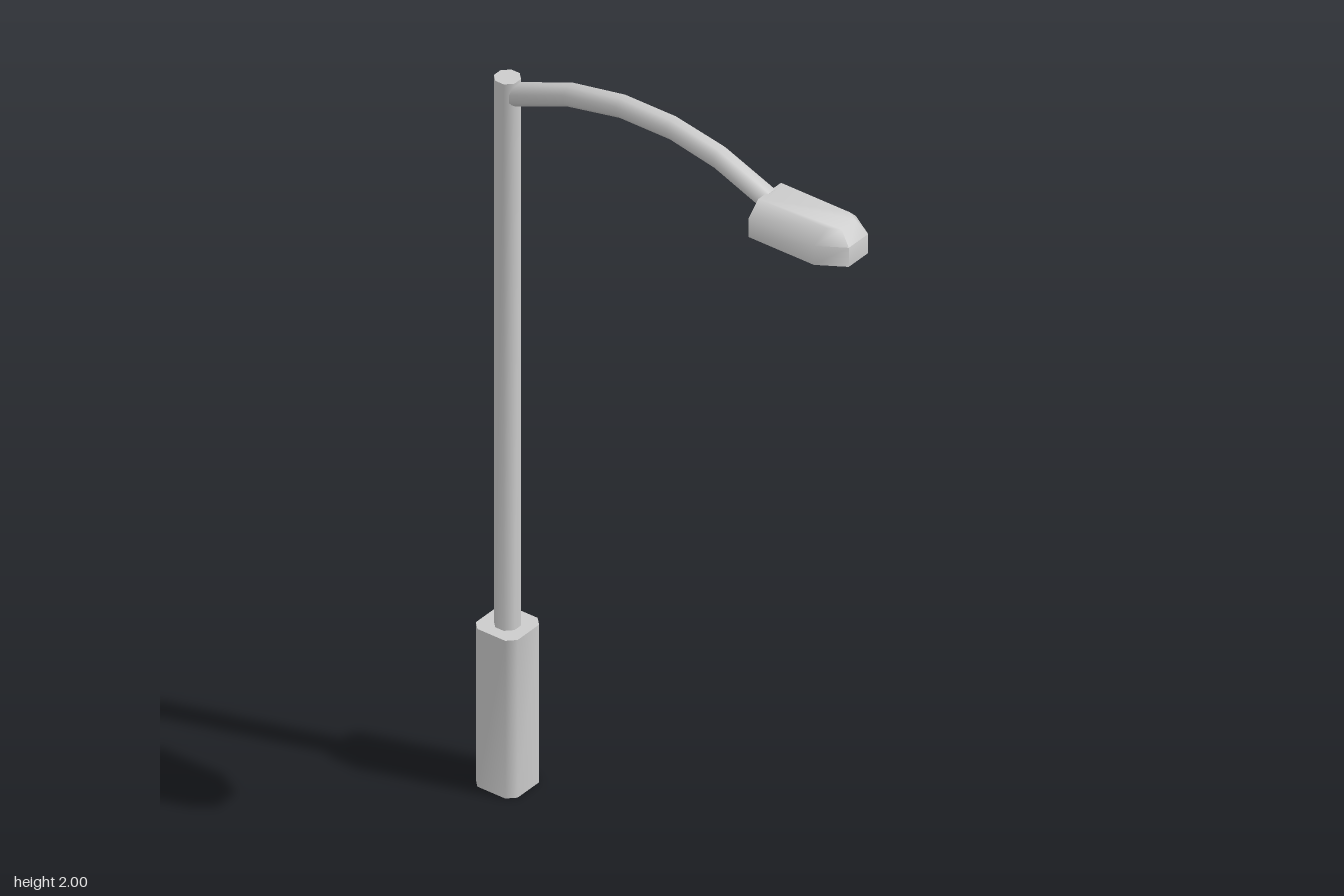
import * as THREE from 'three';
import { toCreasedNormals } from 'three/addons/utils/BufferGeometryUtils.js';

const material = new THREE.MeshStandardMaterial({ color: 0xcccccc });
const openMaterial = new THREE.MeshStandardMaterial({ color: 0xcccccc, side: THREE.DoubleSide });
const POLE_Z = -0.475;

// Joins rings of [x, z] corners (each at its own height), with optional end caps
function loft(rings, capFirst, capLast) {
  const n = rings[0].points.length;
  const positions = rings.flatMap(({ y, points }) => points.flatMap(([x, z]) => [x, y, z]));
  const index = [];
  for (let r = 0; r < rings.length - 1; r++) {
    for (let i = 0; i < n; i++) {
      const j = (i + 1) % n;
      const a = r * n + i, b = r * n + j, c = a + n, d = b + n;
      index.push(a, b, d, a, d, c);
    }
  }
  const last = (rings.length - 1) * n;
  for (let i = 1; i < n - 1; i++) {
    if (capFirst) index.push(0, i + 1, i);
    if (capLast) index.push(last, last + i, last + i + 1);
  }
  const geometry = new THREE.BufferGeometry();
  geometry.setAttribute('position', new THREE.Float32BufferAttribute(positions, 3));
  geometry.setIndex(index);
  return toCreasedNormals(geometry, 1.02);
}

// Mirrors the left half of a plan to make a closed ring
function mirrored(half) {
  return [...half.map(([x, z]) => [-x, z]), ...half.slice().reverse()];
}

function createBase() {
  const h = 0.06, c = 0.04;
  const plan = mirrored([[c, -h], [h, -c], [h, c], [c, h]]);
  return loft([{ y: 0, points: plan }, { y: 0.43, points: plan }], false, true);
}

// Eight-sided rod bent into an arch by lifting its rings
function createArm() {
  const path = [[-0.45, 1.883], [-0.295, 1.945], [-0.145, 1.974], [0, 1.974], [0.135, 1.948], [0.285, 1.888]];
  const slopes = [0.4, 0.29, 0.1, -0.1, -0.32, -0.44];
  const geometry = new THREE.CylinderGeometry(0.028, 0.028, 5, 8, 5, false, Math.PI / 8);
  geometry.rotateX(Math.PI / 2);
  const p = geometry.attributes.position;
  for (let i = 0; i < p.count; i++) {
    const k = Math.round(p.getZ(i) + 2.5);
    const [z, y] = path[k];
    p.setXYZ(i, p.getX(i), y + p.getY(i) * Math.hypot(1, slopes[k]), z);
  }
  return toCreasedNormals(geometry, 1.02);
}

// Lamp housing with a chamfered roof and a recessed underside
function createLamp() {
  const outer = mirrored([[0.078, 0.278], [0.078, 0.465], [0.036, 0.533]]);
  const inner = mirrored([[0.066, 0.29], [0.066, 0.461], [0.03, 0.521]]);
  const roof = mirrored([[0.042, 0.278], [0.042, 0.475], [0.026, 0.505]]);
  return loft([
    { y: 1.845, points: inner },
    { y: 1.83, points: inner },
    { y: 1.83, points: outer },
    { y: 1.882, points: outer },
    { y: 1.915, points: roof },
  ], true, true);
}

export function createModel() {
  const model = new THREE.Group();
  model.name = 'streetLight';
  const add = (name, geometry, mat = material) => {
    const mesh = new THREE.Mesh(geometry, mat);
    mesh.name = name;
    model.add(mesh);
    return mesh;
  };

  add('base', createBase(), openMaterial).position.z = POLE_Z;

  const pole = new THREE.CylinderGeometry(0.032, 0.032, 1.49, 8, 1, false, Math.PI / 8);
  add('pole', toCreasedNormals(pole, 1.02)).position.set(0, 1.175, POLE_Z);

  add('arm', createArm());
  add('lampHead', createLamp());
  return model;
}
